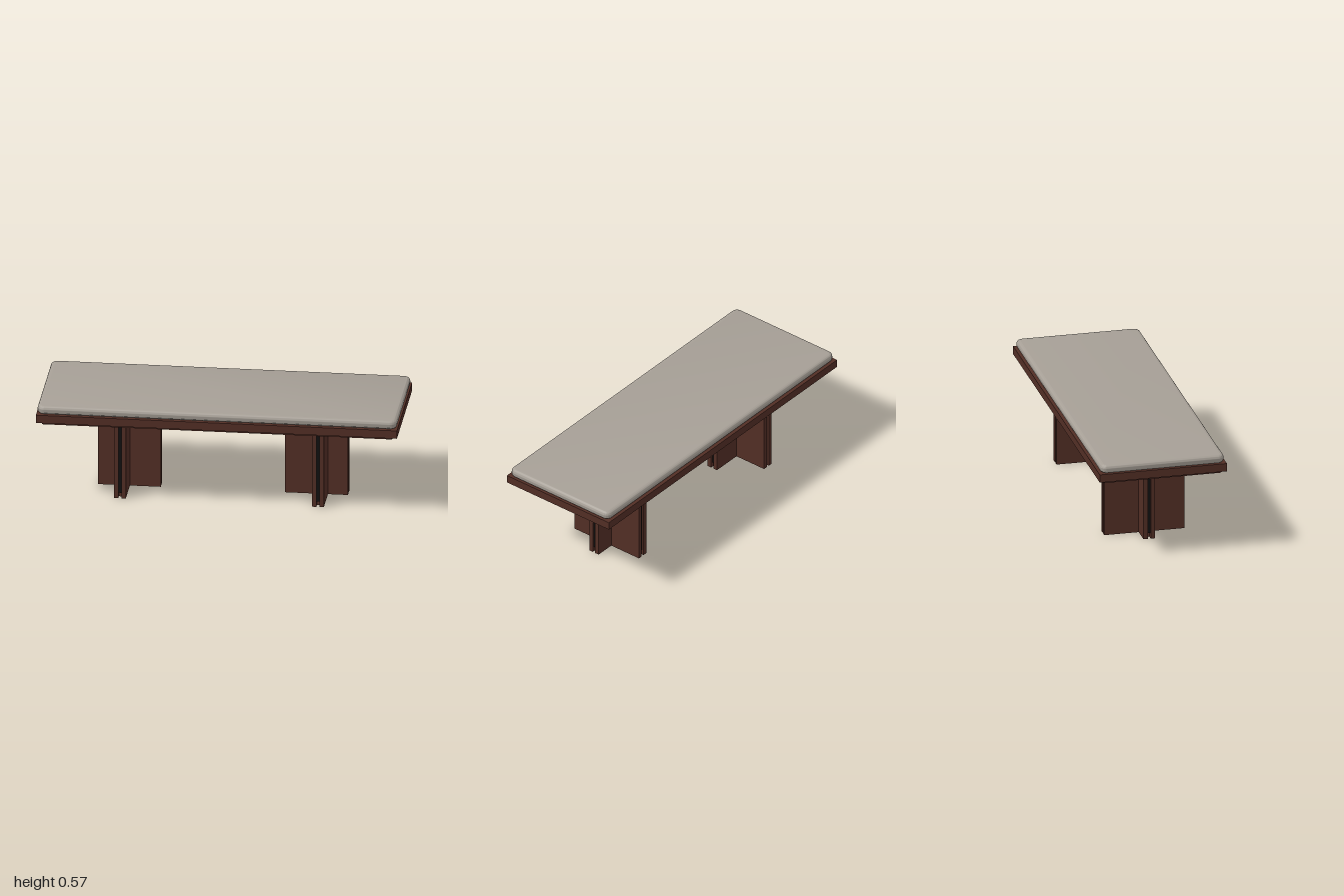
import * as THREE from 'three';
import { toCreasedNormals } from 'three/addons/utils/BufferGeometryUtils.js';

const wood = new THREE.MeshStandardMaterial({ color: 0x522e25 });
wood.name = 'dark wood';
const fabric = new THREE.MeshStandardMaterial({ color: 0xa69f96 });
fabric.name = 'grey fabric';
const black = new THREE.MeshStandardMaterial({ color: 0x111111 });
black.name = 'black inlay';

const LEG_TOP = 0.463, HALF = 0.033, SLOT = 0.0085, DEPTH = 0.03;

function box(name, w, y0, y1, d, material) {
  const mesh = new THREE.Mesh(new THREE.BoxGeometry(w, y1 - y0, d), material);
  mesh.position.y = (y0 + y1) / 2;
  mesh.name = name;
  return mesh;
}

// Seat pad: rounded rectangle with a soft rolled edge
function makeCushion() {
  const bevel = 0.02, r = 0.018, hx = 0.995 - bevel, hz = 0.35 - bevel;
  const s = new THREE.Shape();
  s.moveTo(-hx + r, -hz);
  s.absarc(hx - r, -hz + r, r, -Math.PI / 2, 0);
  s.absarc(hx - r, hz - r, r, 0, Math.PI / 2);
  s.absarc(-hx + r, hz - r, r, Math.PI / 2, Math.PI);
  s.absarc(-hx + r, -hz + r, r, Math.PI, Math.PI * 1.5);
  const g = new THREE.ExtrudeGeometry(s, {
    depth: 0.008, bevelThickness: bevel, bevelSize: bevel, bevelSegments: 8, curveSegments: 8,
  });
  g.rotateX(-Math.PI / 2);
  const mesh = new THREE.Mesh(toCreasedNormals(g, 0.7), fabric);
  mesh.position.y = 0.526 + bevel;
  mesh.name = 'cushion';
  return mesh;
}

// Cross-plan leg; arms are the lengths towards +x, -z, -x, +z
function makeLeg(name, arms) {
  const leg = new THREE.Group();
  leg.name = name;
  const points = [];
  arms.forEach((len, i) => {
    const a = i * Math.PI / 2, c = Math.round(Math.cos(a)), s = Math.round(Math.sin(a));
    const outline = [
      [HALF, -HALF], [len, -HALF], [len, -SLOT], [len - DEPTH, -SLOT],
      [len - DEPTH, SLOT], [len, SLOT], [len, HALF],
    ];
    for (const [u, v] of outline) points.push(new THREE.Vector2(u * c - v * s, u * s + v * c));

    // Black strip set back in the groove, stopping short of the floor
    const strip = box('grooveInlay', DEPTH - 0.012, 0.028, LEG_TOP, SLOT * 2, black);
    const mid = len - (DEPTH + 0.012) / 2;
    strip.position.x = mid * c;
    strip.position.z = -mid * s;
    strip.rotation.y = a;
    leg.add(strip);
  });
  const g = new THREE.ExtrudeGeometry(new THREE.Shape(points), { depth: LEG_TOP, bevelEnabled: false });
  g.rotateX(-Math.PI / 2);
  const post = new THREE.Mesh(g, wood);
  post.name = 'crossPost';
  leg.add(post);
  return leg;
}

export function createModel() {
  const bench = new THREE.Group();
  bench.name = 'bench';

  // Seat
  bench.add(box('underFrame', 1.94, LEG_TOP, 0.481, 0.664, wood));
  bench.add(box('seatBoard', 2, 0.48, 0.526, 0.72, wood));
  bench.add(makeCushion());

  // Legs, with the longer arm pointing inwards
  const left = makeLeg('leftLeg', [0.144, 0.228, 0.204, 0.228]);
  left.position.set(0.546, 0, -0.005);
  const right = makeLeg('rightLeg', [0.204, 0.228, 0.144, 0.228]);
  right.position.set(-0.551, 0, -0.005);
  bench.add(left, right);
  return bench;
}
